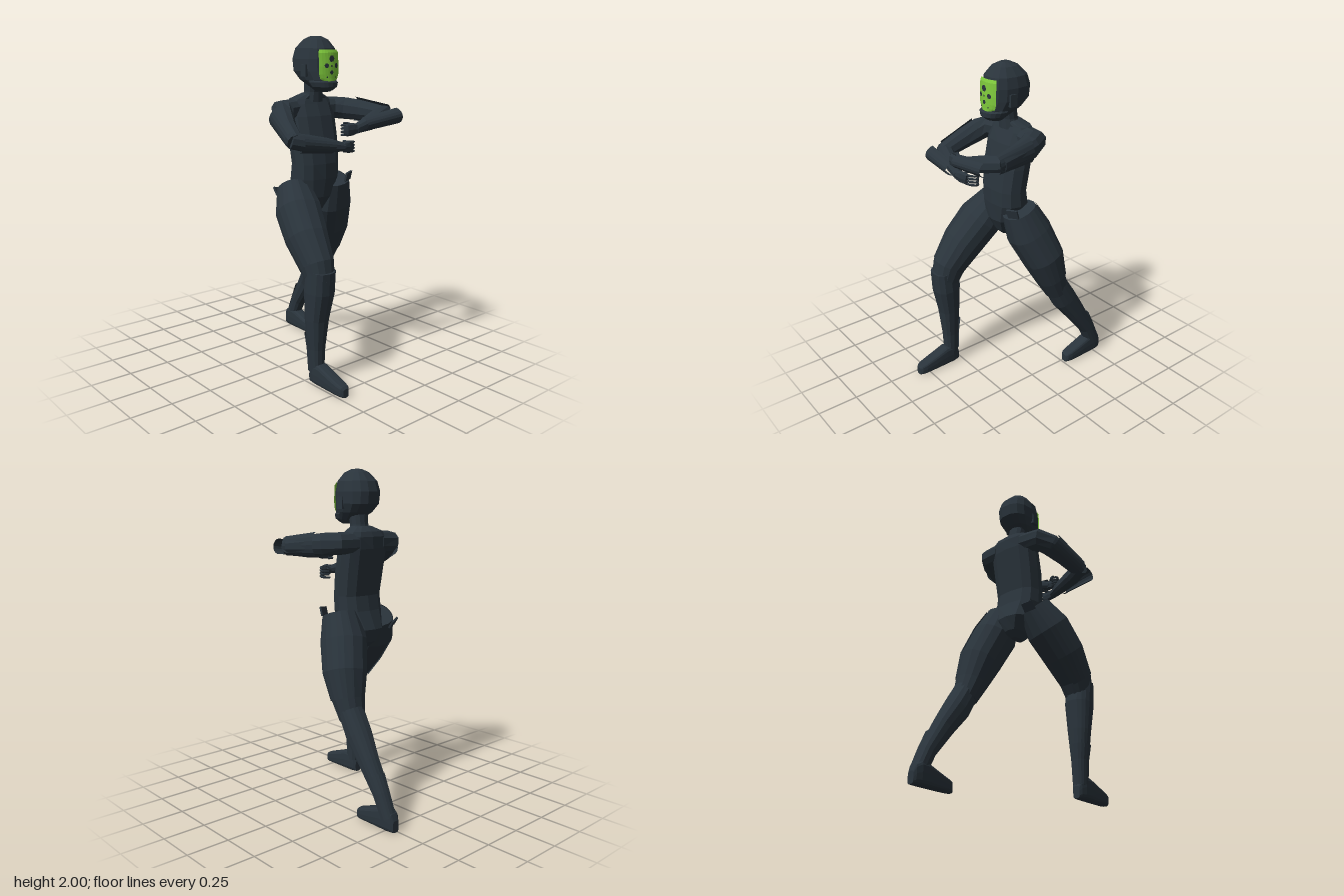
import * as THREE from 'three';

const suit = new THREE.MeshStandardMaterial({ color: 0x2a343c, flatShading: true, side: THREE.DoubleSide });
suit.name = 'dark suit';
const green = new THREE.MeshStandardMaterial({ color: 0x7fca3c, flatShading: true, side: THREE.DoubleSide });
green.name = 'mask green';

const LATERAL = new THREE.Vector3(1, 0, 0);
const UPWARD = new THREE.Vector3(0, 1, 0);
const FORWARD = new THREE.Vector3(0, 0, 1);

// Rings [x, y, z, width radius, depth radius], square to their path or to a fixed axis; an arc gives an open shell
function loft(rings, { ref = LATERAL, axis = null, sides = 12, power = 2.3, arc = null, grow = 1 } = {}) {
  const centres = rings.map(r => new THREE.Vector3(r[0], r[1], r[2]));
  const [from, to] = arc || [0, Math.PI * 2];
  const row = sides + 1, pos = [], idx = [];
  const bend = v => Math.sign(v) * Math.abs(v) ** (2 / power);
  rings.forEach((r, i) => {
    const t = axis || centres[Math.min(i + 1, rings.length - 1)].clone().sub(centres[Math.max(i - 1, 0)]).normalize();
    const s = ref.clone().addScaledVector(t, -ref.dot(t)).normalize();
    const b = t.clone().cross(s);
    for (let j = 0; j <= sides; j++) {
      const a = from + (to - from) * j / sides;
      const p = centres[i].clone()
        .addScaledVector(s, bend(Math.cos(a)) * r[3] * grow)
        .addScaledVector(b, bend(Math.sin(a)) * r[4] * grow);
      pos.push(p.x, p.y, p.z);
    }
  });
  for (let i = 0; i < rings.length - 1; i++) for (let j = 0; j < sides; j++) {
    const a = i * row + j, c = a + row;
    idx.push(a, a + 1, c, a + 1, c + 1, c);
  }
  if (!arc) {
    const last = (rings.length - 1) * row;
    for (let j = 1; j < sides - 1; j++) idx.push(0, j + 1, j, last, last + j, last + j + 1);
  }
  const g = new THREE.BufferGeometry();
  g.setAttribute('position', new THREE.Float32BufferAttribute(pos, 3));
  g.setIndex(idx);
  g.computeVertexNormals();
  return g;
}

export function createModel() {
  const model = new THREE.Group();
  model.name = 'maskedFighter';
  const add = (name, geometry, material = suit) => {
    const m = new THREE.Mesh(geometry, material);
    m.name = name;
    model.add(m);
    return m;
  };

  // Trunk and neck
  add('torso', loft([
    [0, 0.945, 0, 0.025, 0.045], [0, 0.98, 0, 0.06, 0.085], [0, 1.06, 0.005, 0.115, 0.12],
    [0.01, 1.17, 0.03, 0.15, 0.105], [0.01, 1.26, 0.038, 0.15, 0.097], [0.01, 1.4, 0.018, 0.157, 0.1],
    [0.01, 1.54, -0.01, 0.16, 0.095], [0.012, 1.61, -0.025, 0.155, 0.08], [0.013, 1.64, -0.025, 0.13, 0.068],
    [0.015, 1.67, -0.005, 0.06, 0.052],
  ], { axis: UPWARD, power: 2.6 }));
  add('neck', loft([[0.015, 1.62, 0, 0.065, 0.06], [0.015, 1.68, 0.012, 0.055, 0.05], [0.012, 1.78, 0.03, 0.06, 0.055]], { axis: UPWARD }));

  // Head with hood, jaw and ear bumps
  add('head', loft([
    [0.013, 1.683, 0.105, 0.042, 0.035], [0.013, 1.705, 0.1, 0.06, 0.07], [0.013, 1.75, 0.06, 0.09, 0.113],
    [0.013, 1.8, 0.031, 0.108, 0.132], [0.013, 1.87, 0.026, 0.112, 0.135], [0.013, 1.93, 0.03, 0.1, 0.12],
    [0.013, 1.98, 0.035, 0.062, 0.075], [0.013, 2.0, 0.035, 0.025, 0.03],
  ], { axis: UPWARD, sides: 14, power: 2.5 }));
  add('jawGuard', loft([
    [0.013, 1.69, 0.1, 0.05, 0.06], [0.013, 1.712, 0.08, 0.08, 0.108],
    [0.013, 1.738, 0.065, 0.092, 0.125], [0.013, 1.748, 0.06, 0.092, 0.11],
  ], { axis: UPWARD, arc: [-Math.PI * 0.95, -Math.PI * 0.05], sides: 10 }));
  for (const s of [-1, 1]) {
    const ear = add('earBump', new THREE.BoxGeometry(0.02, 0.07, 0.045));
    ear.position.set(0.013 + s * 0.105, 1.805, 0.06);
  }

  // Curved face mask with dark spots
  add('faceMask', loft([
    [0.013, 1.745, 0.047, 0.09, 0.13], [0.013, 1.76, 0.045, 0.118, 0.131], [0.013, 1.785, 0.045, 0.132, 0.131],
    [0.013, 1.83, 0.045, 0.133, 0.131], [0.013, 1.905, 0.045, 0.133, 0.125], [0.013, 1.922, 0.045, 0.12, 0.118],
  ], { axis: UPWARD, arc: [-Math.PI / 2 - 0.59, -Math.PI / 2 + 0.59], sides: 8, power: 2 }), green);
  [[0, 1.872, 0.02], [-0.034, 1.833, 0.015], [0.038, 1.833, 0.015], [0, 1.83, 0.006],
    [0, 1.795, 0.013], [-0.03, 1.768, 0.005], [0.03, 1.768, 0.005]].forEach(([x, y, r]) => {
    const spot = add('maskSpot', new THREE.CircleGeometry(r, 6));
    spot.position.set(0.013 + x, y, 0.045 + Math.sqrt(0.0178 - x * x) + 0.001);
    spot.rotation.y = Math.asin(x / 0.133);
  });

  // Legs: right one forward, left one stretched back
  const legs = {
    right: {
      side: -1,
      thigh: [[-0.125, 1.12, 0.0, 0.095, 0.09], [-0.16, 1.0, 0.09, 0.13, 0.125], [-0.192, 0.86, 0.205, 0.12, 0.12],
        [-0.205, 0.72, 0.31, 0.093, 0.102], [-0.207, 0.62, 0.345, 0.078, 0.08]],
      calf: [[-0.207, 0.7, 0.35, 0.08, 0.074], [-0.207, 0.57, 0.337, 0.081, 0.081], [-0.212, 0.4, 0.32, 0.066, 0.062],
        [-0.212, 0.22, 0.315, 0.047, 0.049], [-0.21, 0.08, 0.315, 0.04, 0.044]],
      foot: [-0.21, 0.27],
      tab: [-0.165, 1.08, -0.1, -0.65],
    },
    left: {
      side: 1,
      thigh: [[0.145, 1.15, 0.035, 0.1, 0.1], [0.165, 1.0, -0.02, 0.13, 0.13], [0.217, 0.83, -0.09, 0.127, 0.12],
        [0.24, 0.68, -0.14, 0.098, 0.09], [0.25, 0.57, -0.185, 0.075, 0.068]],
      calf: [[0.248, 0.62, -0.17, 0.073, 0.068], [0.252, 0.49, -0.245, 0.071, 0.075], [0.263, 0.36, -0.337, 0.056, 0.062],
        [0.267, 0.2, -0.445, 0.046, 0.046], [0.268, 0.07, -0.505, 0.04, 0.043]],
      foot: [0.265, -0.56],
      tab: [0.2, 1.165, 0.125, 0.3],
    },
  };
  for (const [label, { side, thigh, calf, foot, tab }] of Object.entries(legs)) {
    const mid = side > 0 ? 0 : Math.PI;
    add(label + 'Thigh', loft(thigh, { sides: 14 }));
    add(label + 'Calf', loft(calf, { power: 2.5 }));
    // Shells over the outer thigh, back of the calf and the ankle
    add(label + 'ThighGuard', loft(thigh.slice(0, 4), { arc: [mid - 1.2, mid + 1.2], sides: 8, grow: 1.05 }));
    const outerBack = side > 0 ? -0.85 : Math.PI + 0.85;
    const shell = { arc: [outerBack - 1, outerBack + 1], sides: 6 };
    add(label + 'CalfGuard', loft(calf.slice(0, 4), { ...shell, grow: 1.1 }));
    add(label + 'AnkleGuard', loft(calf.slice(2).map((r, i) => i ? r : [
      (r[0] + calf[3][0]) / 2, (r[1] + calf[3][1]) / 2, (r[2] + calf[3][2]) / 2, r[3] * 0.9, r[4] * 0.95,
    ]), { ...shell, grow: 1.2 }));
    // Guard corner standing off the hip
    const corner = add(label + 'HipTab', new THREE.BoxGeometry(0.07, 0.055, 0.012));
    corner.position.set(tab[0], tab[1], tab[2]);
    corner.rotation.set(tab[3], 0.4, 0);
    // Shoe, from heel to toe
    const [fx, heel] = foot;
    add(label + 'Foot', loft([[0, 0.035, 0.022], [0.015, 0.055, 0.032], [0.05, 0.066, 0.041], [0.1, 0.065, 0.042],
      [0.18, 0.05, 0.041], [0.255, 0.037, 0.038], [0.285, 0.032, 0.032], [0.298, 0.026, 0.02]]
      .map(([z, h, w]) => [fx, h, heel + z, w, h]), { axis: FORWARD, power: 4, sides: 16 }));
  }

  // Arms, bent across the chest
  const arms = {
    right: {
      outer: Math.PI / 2,
      front: Math.PI / 2,
      upper: [[-0.08, 1.575, -0.03, 0.065, 0.07], [-0.19, 1.57, -0.02, 0.066, 0.075], [-0.235, 1.545, 0.04, 0.068, 0.062],
        [-0.28, 1.49, 0.13, 0.06, 0.056], [-0.315, 1.425, 0.25, 0.048, 0.046]],
      fore: [[-0.33, 1.435, 0.23, 0.045, 0.045], [-0.24, 1.415, 0.265, 0.05, 0.048], [-0.13, 1.4, 0.3, 0.042, 0.04], [-0.03, 1.385, 0.335, 0.025, 0.027]],
      upperGuard: [[-0.262, 1.545, 0.03, 0.068, 0.055], [-0.315, 1.44, 0.23, 0.055, 0.048]],
      foreGuard: [[-0.33, 1.425, 0.3, 0.052, 0.062], [-0.11, 1.395, 0.31, 0.042, 0.058]],
    },
    left: {
      outer: -Math.PI / 2,
      front: -Math.PI / 2,
      upper: [[0.1, 1.575, -0.03, 0.065, 0.07], [0.2, 1.575, -0.02, 0.065, 0.075], [0.25, 1.57, 0.05, 0.066, 0.062],
        [0.285, 1.562, 0.15, 0.06, 0.052], [0.315, 1.55, 0.3, 0.046, 0.044]],
      fore: [[0.335, 1.555, 0.29, 0.045, 0.045], [0.24, 1.535, 0.33, 0.05, 0.048], [0.13, 1.51, 0.362, 0.042, 0.042], [0.02, 1.485, 0.375, 0.026, 0.026]],
      upperGuard: [[0.278, 1.568, 0.08, 0.075, 0.05], [0.31, 1.55, 0.33, 0.058, 0.046]],
      foreGuard: [[0.33, 1.545, 0.383, 0.048, 0.064], [0.06, 1.51, 0.375, 0.041, 0.064]],
    },
  };
  for (const [label, a] of Object.entries(arms)) {
    const opt = { ref: UPWARD, sides: 10 };
    // Guards sit on the outer upper arm and the front of the forearm
    const shell = mid => ({ ref: UPWARD, sides: 8, power: 2, arc: [mid - 1.35, mid + 1.35] });
    add(label + 'UpperArm', loft(a.upper, opt));
    add(label + 'Forearm', loft(a.fore, opt));
    add(label + 'UpperArmGuard', loft(a.upperGuard, shell(a.outer)));
    add(label + 'ForearmGuard', loft(a.foreGuard, shell(a.front)));
  }

  // Hands: a loose open right hand and a curled left hand
  const finger = (name, pts) => add(name, new THREE.TubeGeometry(
    new THREE.CatmullRomCurve3(pts.map(p => new THREE.Vector3(...p))), 6, 0.007, 5));
  add('rightPalm', loft([[-0.045, 1.387, 0.335, 0.025, 0.024], [0.0, 1.385, 0.335, 0.036, 0.02], [0.04, 1.38, 0.325, 0.034, 0.014]],
    { ref: UPWARD, sides: 8 }));
  add('leftPalm', loft([[0.04, 1.488, 0.372, 0.026, 0.025], [0.0, 1.487, 0.372, 0.036, 0.022], [-0.04, 1.485, 0.37, 0.036, 0.018], [-0.055, 1.485, 0.36, 0.028, 0.014]],
    { ref: UPWARD, sides: 8 }));
  for (let i = 0; i < 4; i++) {
    const y = 0.027 - i * 0.018;
    finger('rightFinger', [[0.03, 1.38 + y, 0.325], [0.07, 1.378 + y, 0.31], [0.078, 1.374 + y, 0.28], [0.05 - i * 0.004, 1.372 + y, 0.255]]);
    finger('leftFinger', [[-0.04, 1.486 + y, 0.372], [-0.06, 1.484 + y, 0.355], [-0.048, 1.482 + y, 0.335], [-0.02, 1.482 + y, 0.34]]);
  }
  finger('rightThumb', [[-0.02, 1.4, 0.33], [0.01, 1.41, 0.31], [0.015, 1.41, 0.28]]);
  finger('leftThumb', [[0.01, 1.505, 0.365], [-0.01, 1.518, 0.345], [-0.035, 1.52, 0.335]]);
  return model;
}
